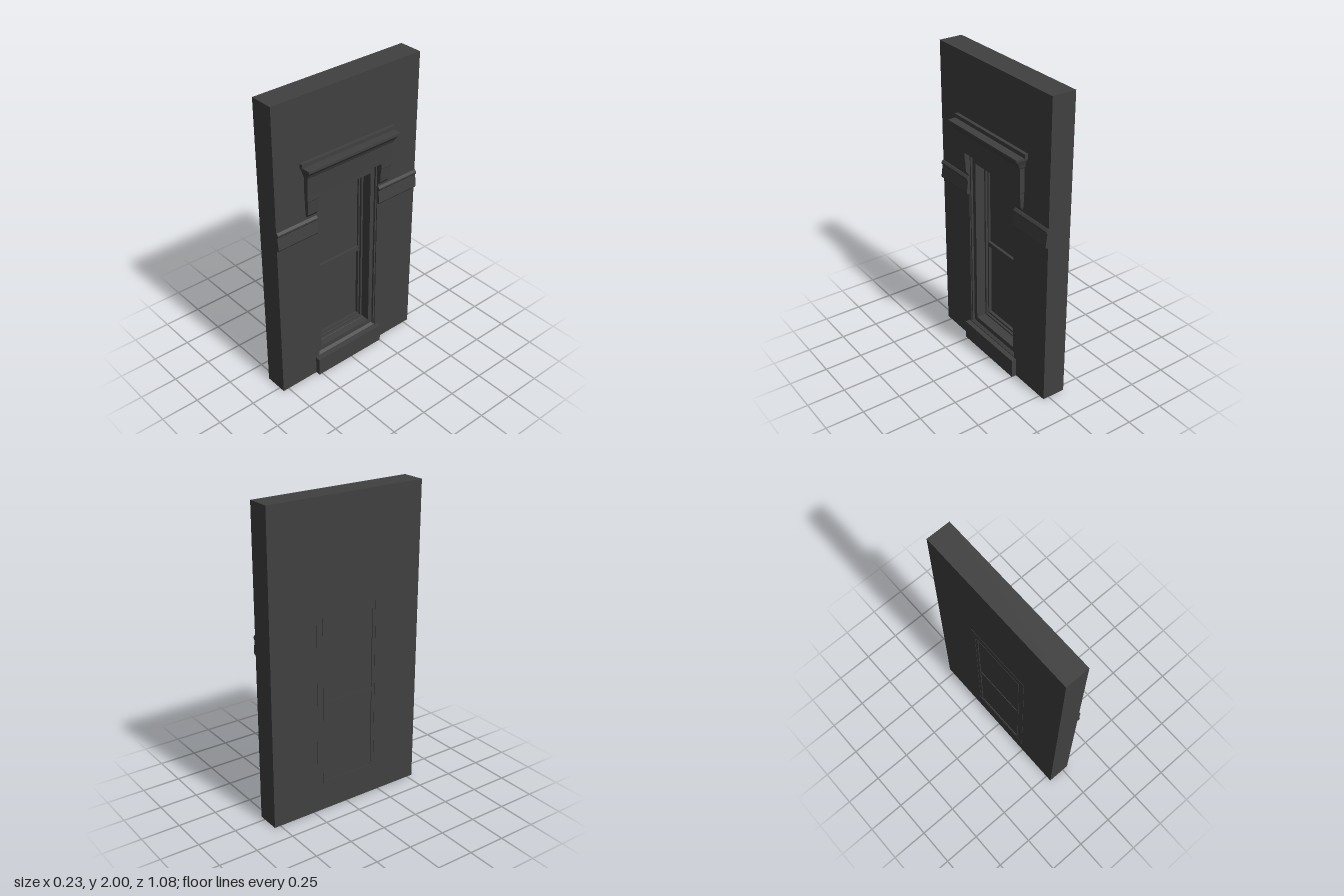
import * as THREE from 'three';

const material = new THREE.MeshStandardMaterial({ color: 0x404040, flatShading: true });

function add(group, name, geometry) {
  const mesh = new THREE.Mesh(geometry, material);
  mesh.name = name;
  group.add(mesh);
  return mesh;
}

// Box given by its limits
function block(x0, x1, y0, y1, z0, z1) {
  return new THREE.BoxGeometry(x1 - x0, y1 - y0, z1 - z0)
    .translate((x0 + x1) / 2, (y0 + y1) / 2, (z0 + z1) / 2);
}

// Rectangle [z0, z1, y0, y1] drawn in the wall plane
function rectangle(Type, [z0, z1, y0, y1]) {
  return new Type([[-z1, y0], [-z0, y0], [-z0, y1], [-z1, y1]]
    .map(([u, v]) => new THREE.Vector2(u, v)));
}

// Rectangular frame with an opening, running from x0 to x1
function frame(outer, inner, x0, x1) {
  const shape = rectangle(THREE.Shape, outer);
  shape.holes.push(rectangle(THREE.Path, inner));
  return new THREE.ExtrudeGeometry(shape, { depth: x1 - x0, bevelEnabled: false })
    .rotateY(Math.PI / 2).translate(x0, 0, 0);
}

// Moulding set into the wall, lofted upward through levels [y, frontX, z0, z1]
function moulding(levels, back = 0.03) {
  const positions = [];
  const index = [];
  levels.forEach(([y, x, z0, z1], i) => {
    positions.push(back, y, z0, back, y, z1, x, y, z1, x, y, z0);
    if (i === 0) return;
    for (let k = 0; k < 4; k++) {
      const a = (i - 1) * 4 + k;
      const b = (i - 1) * 4 + (k + 1) % 4;
      index.push(a, b, b + 4, a, b + 4, a + 4);
    }
  });
  const t = (levels.length - 1) * 4;
  index.push(0, 2, 1, 0, 3, 2, t, t + 1, t + 2, t, t + 2, t + 3);
  const indexed = new THREE.BufferGeometry();
  indexed.setAttribute('position', new THREE.Float32BufferAttribute(positions, 3));
  indexed.setIndex(index);
  const geometry = indexed.toNonIndexed();
  geometry.computeVertexNormals();
  return geometry;
}

export function createModel() {
  const model = new THREE.Group();
  model.name = 'windowWall';

  // Wall with the window opening
  add(model, 'wall', frame([-0.54, 0.54, 0, 2], [-0.23, 0.25, 0.11, 1.38], -0.115, 0.04));

  // Window: nested frames stepping back to the glass, slightly off centre
  const win = new THREE.Group();
  win.name = 'window';
  win.position.z = 0.01;
  model.add(win);
  const steps = [
    ['outerCasing', [0.24, 0.11, 1.38], [0.23, 0.13, 1.355], -0.115, 0.033],
    ['innerCasing', [0.23, 0.13, 1.355], [0.2, 0.175, 1.31], -0.117, 0.02],
    ['windowFrame', [0.2, 0.175, 1.31], [0.187, 0.187, 1.285], -0.115, -0.045],
    ['sashFrame', [0.187, 0.187, 1.285], [0.177, 0.2, 1.27], -0.117, -0.06],
  ];
  const rect = ([half, y0, y1]) => [-half, half, y0, y1];
  for (const [name, outer, inner, x0, x1] of steps) {
    add(win, name, frame(rect(outer), rect(inner), x0, x1));
  }
  add(win, 'lowerPane', block(-0.112, -0.08, 0.2, 0.715, -0.177, 0.177));
  add(win, 'upperPane', block(-0.112, -0.073, 0.745, 1.27, -0.177, 0.177));
  add(win, 'meetingRail', block(-0.116, -0.055, 0.715, 0.745, -0.177, 0.177));

  // Sloping sill and plinth block under the window
  add(win, 'sill', moulding([
    [0.11, 0.038, -0.24, 0.24], [0.13, 0.038, -0.24, 0.24], [0.176, -0.03, -0.2, 0.2],
  ], -0.06));
  add(win, 'plinth', block(0.03, 0.072, 0, 0.125, -0.263, 0.263));

  // Hood: frieze, side ears, flared crown and capping strip
  const hood = new THREE.Group();
  hood.name = 'hood';
  hood.position.z = 0.01;
  model.add(hood);
  add(hood, 'frieze', moulding([[1.38, 0.07, -0.322, 0.322], [1.5, 0.073, -0.322, 0.322]]));
  for (const side of [-1, 1]) {
    const span = (outer) => (side > 0 ? [0.24, outer] : [-outer, -0.24]);
    add(hood, side > 0 ? 'leftEar' : 'rightEar', moulding([
      [1.225, 0.041, ...span(0.31)], [1.25, 0.062, ...span(0.318)],
      [1.34, 0.067, ...span(0.318)], [1.345, 0.07, ...span(0.322)],
      [1.38, 0.07, ...span(0.322)],
    ]));
  }
  add(hood, 'crown', moulding([
    [1.5, 0.073, -0.322, 0.322], [1.505, 0.079, -0.327, 0.327],
    [1.525, 0.087, -0.331, 0.331], [1.545, 0.102, -0.338, 0.338],
    [1.555, 0.107, -0.342, 0.342], [1.557, 0.115, -0.345, 0.345],
    [1.572, 0.115, -0.345, 0.345],
  ]));
  add(hood, 'cappingStrip', block(0.03, 0.062, 1.565, 1.597, -0.35, 0.35));

  // String course on both sides of the window
  for (const [name, z0, z1] of [['leftBand', 0.25, 0.54], ['rightBand', -0.54, -0.23]]) {
    add(model, name, moulding([
      [1.09, 0.053, z0, z1], [1.1, 0.059, z0, z1], [1.18, 0.048, z0, z1],
      [1.19, 0.056, z0, z1], [1.2, 0.056, z0, z1], [1.213, 0.045, z0, z1],
    ]));
  }
  return model;
}
